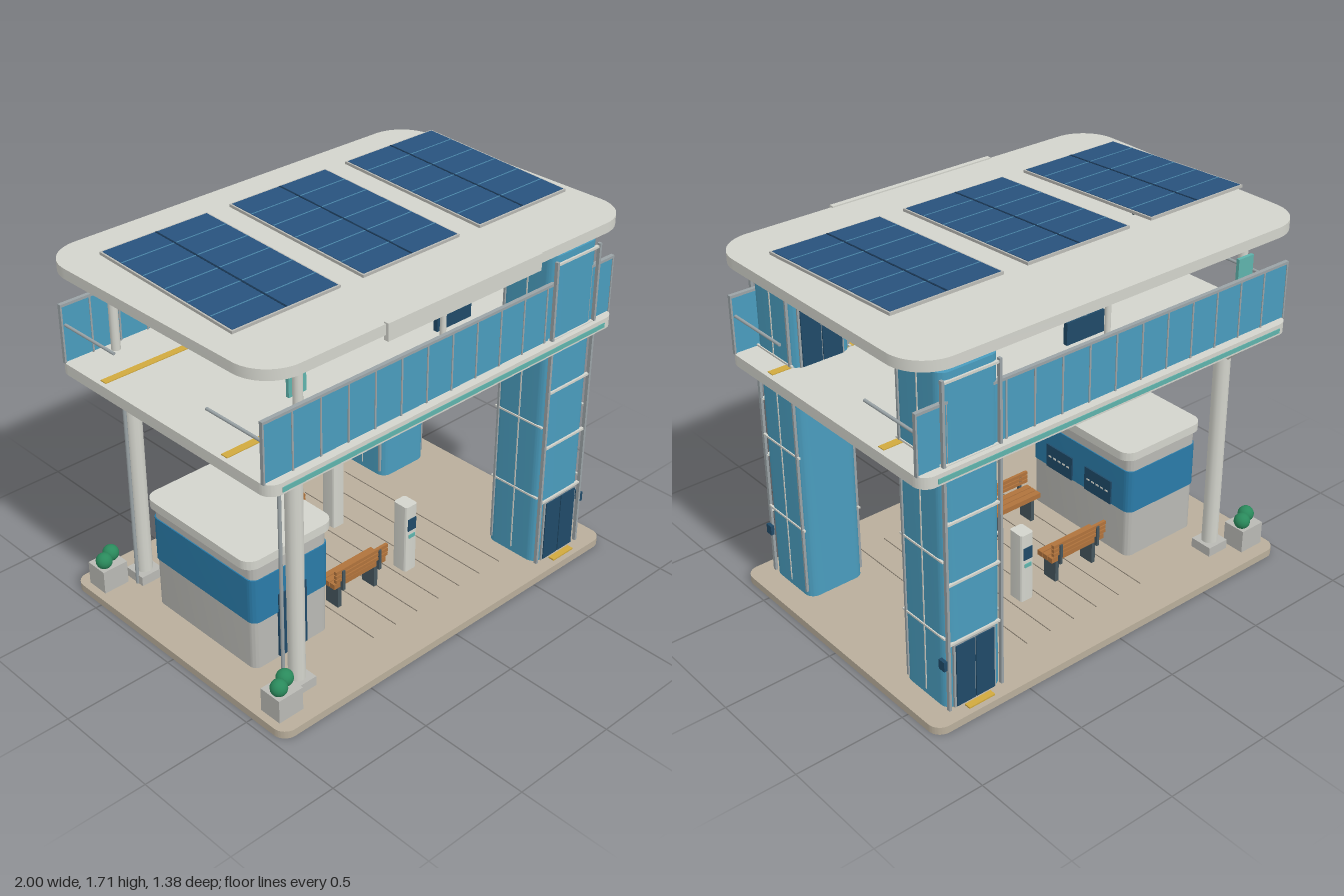
import * as THREE from 'three';
import { toCreasedNormals } from 'three/addons/utils/BufferGeometryUtils.js';

const mat = (color) => new THREE.MeshStandardMaterial({ color });
const M = {
  floor: mat(0xb9ae9b), white: mat(0xd3d4cc), grey: mat(0xb9b9b4), steel: mat(0x9aa3a6),
  glass: mat(0x4a9cbd), dark: mat(0x1f4a68), blue: mat(0x2a7ba8), cell: mat(0x28527d),
  line: mat(0x17334f), teal: mat(0x5fb3ac), wood: mat(0xb0733c), leg: mat(0x46565e),
  green: mat(0x2a8a5c), yellow: mat(0xd0a93e), joint: mat(0x7d7468), trim: mat(0x4a86a8),
};

function add(parent, name, geo, material, x = 0, y = 0, z = 0) {
  const mesh = new THREE.Mesh(geo, material);
  mesh.name = name;
  mesh.position.set(x, y, z);
  parent.add(mesh);
  return mesh;
}

// Box given by its limits on each axis
function box(parent, name, material, [x0, x1], [y0, y1], [z0, z1]) {
  return add(parent, name, new THREE.BoxGeometry(x1 - x0, y1 - y0, z1 - z0), material,
    (x0 + x1) / 2, (y0 + y1) / 2, (z0 + z1) / 2);
}

// Horizontal slab with rounded vertical corners, standing on y = 0
function slab(w, d, h, r) {
  const s = new THREE.Shape(), a = w / 2, b = d / 2;
  s.absarc(a - r, b - r, r, 0, Math.PI / 2);
  s.absarc(-a + r, b - r, r, Math.PI / 2, Math.PI);
  s.absarc(-a + r, -b + r, r, Math.PI, Math.PI * 1.5);
  s.absarc(a - r, -b + r, r, Math.PI * 1.5, Math.PI * 2);
  const g = new THREE.ExtrudeGeometry(s, { depth: h, bevelEnabled: false, curveSegments: 8 });
  return toCreasedNormals(g.rotateX(-Math.PI / 2), 0.6);
}

// Round bar between two points
function rod(parent, name, material, from, to, r) {
  const a = new THREE.Vector3(...from), b = new THREE.Vector3(...to);
  const mesh = add(parent, name, new THREE.CylinderGeometry(r, r, a.distanceTo(b), 12), material);
  mesh.position.copy(a).lerp(b, 0.5);
  mesh.quaternion.setFromUnitVectors(new THREE.Vector3(0, 1, 0), b.sub(a).normalize());
  return mesh;
}

function group(parent, name) {
  const g = new THREE.Group();
  g.name = name;
  parent.add(g);
  return g;
}

function liftTower(parent, s) {
  const g = group(parent, 'liftTower');
  const zs = (a, b) => [Math.min(s * a, s * b), Math.max(s * a, s * b)];
  add(g, 'liftShaft', slab(0.28, 0.28, 1.505, 0.045), M.glass, 0.72, 0.035, s * 0.475);
  // outer face: corner poles, cross bars and ground door
  for (const x of [0.59, 0.855]) box(g, 'shaftPole', M.steel, [x - 0.006, x + 0.006], [0.035, 1.52], zs(0.612, 0.628));
  for (const y of [0.35, 0.63, 0.905, 1.16, 1.505])
    box(g, 'shaftBar', M.white, [0.59, 0.855], [y - 0.005, y + 0.005], zs(0.61, 0.624));
  box(g, 'doorFrame', M.steel, [0.62, 0.83], [0.035, 0.345], zs(0.61, 0.622));
  for (const x of [0.63, 0.728]) box(g, 'liftDoor', M.dark, [x, x + 0.092], [0.04, 0.335], zs(0.615, 0.627));
  box(g, 'doorMat', M.yellow, [0.66, 0.79], [0.035, 0.042], zs(0.635, 0.665));
  box(g, 'callPanel', M.dark, [0.864, 0.88], [0.24, 0.285], zs(0.59, 0.625));
  // side faces
  for (const x of [0.58, 0.86]) {
    for (const y of [0.38, 0.74, 1.17])
      box(g, 'sideBar', M.white, [x - 0.005, x + 0.005], [y - 0.004, y + 0.004], zs(0.345, 0.61));
    box(g, 'sideMullion', M.white, [x - 0.003, x + 0.003], [0.06, 1.52], zs(0.477, 0.483));
    box(g, 'sidePole', M.steel, [x - 0.006, x + 0.006], [0.06, 1.52], zs(0.358, 0.368));
  }
  // deck-level door on the inner face
  box(g, 'upperDoorFrame', M.steel, [0.62, 0.83], [1.16, 1.475], zs(0.33, 0.34));
  for (const x of [0.63, 0.728]) box(g, 'upperDoor', M.dark, [x, x + 0.092], [1.165, 1.465], zs(0.325, 0.34));
}

function railing(parent, s) {
  const g = group(parent, 'railing'), z = s * 0.605;
  box(g, 'railGlass', M.glass, [-0.965, 0.965], [1.165, 1.415], [z - 0.005, z + 0.005]);
  box(g, 'handrail', M.steel, [-0.97, 0.97], [1.412, 1.424], [z - 0.009, z + 0.009]);
  for (let i = 0; i <= 14; i++) {
    const x = -0.966 + i * 0.138;
    box(g, 'railPost', M.steel, [x - 0.004, x + 0.004], [1.16, 1.415], [z - 0.008, z + 0.008]);
  }
  for (const x of [-0.95, 0.95]) rod(g, 'endBar', M.steel, [x, 1.328, z], [x, 1.328, s * 0.28], 0.007);
}

function column(parent, s) {
  const g = group(parent, 'column'), x = -0.73, z = s * 0.5;
  box(g, 'columnFoot', M.grey, [x - 0.055, x + 0.055], [0.035, 0.08], [z - 0.055, z + 0.055]);
  rod(g, 'columnShaft', M.white, [x, 0.05, z], [x, 1.12, z], 0.037);
  for (let i = 0; i < 4; i++) {
    const dx = Math.cos(i * Math.PI / 2), dz = Math.sin(i * Math.PI / 2);
    rod(g, 'columnArm', M.white, [x, 1.0, z], [x + dx * 0.115, 1.11, z + dz * 0.115], 0.015);
  }
  rod(g, 'downpipe', M.steel, [x - 0.055, 0.035, z - s * 0.02], [x - 0.055, 1.12, z - s * 0.02], 0.008);
}

function roofSupports(parent, s) {
  const g = group(parent, 'roofSupports'), z = s * 0.555;
  for (const [x, y, r] of [[-0.75, 1.16, 0.02], [0, 1.16, 0.013], [0.75, 1.5, 0.02]]) {
    rod(g, 'roofPost', M.white, [x, y, z], [x, 1.585, z], r);
    box(g, 'postCap', M.white, [x - r * 4, x + r * 4], [1.572, 1.586], [z - 0.04, z + 0.04]);
  }
  box(g, 'exitSign', M.teal, [-0.775, -0.69], [1.41, 1.505], [z - 0.035, z - 0.02]);
  rod(g, 'signRod', M.steel, [0.085, 1.48, s * 0.52], [0.085, 1.59, s * 0.52], 0.005);
  box(g, 'hangingSign', M.dark, [-0.005, 0.185], [1.39, 1.485], [s * 0.52 - 0.01, s * 0.52 + 0.01]);
}

function bench(parent, s) {
  const g = group(parent, 'bench');
  for (const z of [0.18, 0.213, 0.246]) box(g, 'seatSlat', M.wood, [-0.3, 0.005], [0.15, 0.175], [z - 0.014, z + 0.014]);
  for (const y of [0.197, 0.218, 0.239]) box(g, 'backSlat', M.wood, [-0.3, 0.005], [y - 0.008, y + 0.008], [0.258, 0.272]);
  for (const x of [-0.26, -0.045]) {
    box(g, 'benchLeg', M.leg, [x - 0.01, x + 0.01], [0.035, 0.15], [0.175, 0.25]);
    box(g, 'backBracket', M.leg, [x - 0.007, x + 0.007], [0.14, 0.24], [0.262, 0.278]);
  }
  if (s < 0) g.rotation.y = Math.PI, g.position.x = -0.295;
}

function ticketMachine(parent, s) {
  const g = group(parent, 'ticketMachine'), z = s * 0.23, f = z + s * 0.04;
  add(g, 'machineBody', slab(0.068, 0.08, 0.34, 0.012), M.white, 0.152, 0.035, z);
  box(g, 'screen', M.dark, [0.128, 0.176], [0.25, 0.31], [f - 0.004, f + 0.004]);
  box(g, 'cardReader', M.teal, [0.134, 0.17], [0.21, 0.228], [f - 0.004, f + 0.004]);
}

function planter(parent, s) {
  const g = group(parent, 'planter'), z = s * 0.57;
  box(g, 'pot', M.grey, [-0.935, -0.81], [0.035, 0.145], [z - 0.055, z + 0.055]);
  for (const [x, dz] of [[-0.9, 0.015], [-0.843, -0.015]])
    add(g, 'bush', new THREE.SphereGeometry(0.037, 16, 12), M.green, x, 0.172, z + dz);
}

function solarPanel(parent, x) {
  const g = group(parent, 'solarPanel');
  const tilt = group(g, 'panelTilt');
  tilt.position.set(x, 1.686, 0);
  tilt.rotation.x = 0.048;
  box(tilt, 'panelFrame', M.grey, [-0.262, 0.262], [-0.008, 0.004], [-0.388, 0.388]);
  box(tilt, 'cells', M.cell, [-0.254, 0.254], [-0.004, 0.006], [-0.38, 0.38]);
  box(tilt, 'centreSeam', M.line, [-0.004, 0.004], [0, 0.0075], [-0.38, 0.38]);
  for (const z of [-0.26, -0.13, 0, 0.13, 0.26]) box(tilt, 'cellSeam', M.trim, [-0.254, 0.254], [0, 0.007], [z - 0.0025, z + 0.0025]);
  for (const dx of [-0.165, 0.165]) for (const [z, y] of [[-0.19, 1.692], [0.22, 1.674]])
    rod(g, 'panelLeg', M.leg, [x + dx, 1.625, z], [x + dx, y, z], 0.006);
}

function kiosk(parent) {
  const g = group(parent, 'kiosk'), x = -0.593;
  add(g, 'kioskWalls', slab(0.405, 0.64, 0.515, 0.035), M.grey, x, 0.035, 0);
  add(g, 'kioskBand', slab(0.415, 0.65, 0.21, 0.038), M.blue, x, 0.27, 0);
  add(g, 'kioskRoof', slab(0.465, 0.665, 0.04, 0.06), M.white, x, 0.545, 0);
  box(g, 'kioskDoor', M.dark, [-0.67, -0.52], [0.045, 0.36], [0.31, 0.331]);
  for (const s of [-1, 1]) {
    const z = s * 0.128;
    box(g, 'ticketWindow', M.dark, [-0.4, -0.378], [0.27, 0.387], [z - 0.086, z + 0.086]);
    for (let i = -2; i <= 2; i++)
      box(g, 'windowSlot', M.white, [-0.38, -0.376], [0.326, 0.334], [z + i * 0.03 - 0.009, z + i * 0.03 + 0.009]);
  }
}

export function createModel() {
  const root = new THREE.Group();
  root.name = 'solarStation';
  // ground, deck and roof
  add(root, 'groundSlab', slab(1.94, 1.38, 0.035, 0.06), M.floor);
  for (let i = 0; i < 7; i++) {
    const x = -0.3 + i * 0.13;
    box(root, 'floorJoint', M.joint, [x - 0.002, x + 0.002], [0.03, 0.0365], [-0.5, 0.5]);
  }
  add(root, 'deck', slab(1.94, 1.29, 0.05, 0.06), M.white, 0, 1.112, 0);
  add(root, 'roof', slab(2, 1.33, 0.046, 0.17), M.white, 0, 1.585, 0);
  box(root, 'signBoard', M.white, [-0.42, 0.42], [1.563, 1.637], [0.655, 0.678]);
  for (const x of [-0.64, 0.64]) box(root, 'roofLight', M.grey, [x - 0.011, x + 0.011], [1.538, 1.585], [-0.55, 0.55]);
  // pieces repeated at the front and the back
  for (const s of [1, -1]) {
    box(root, 'deckStripe', M.teal, [-0.91, 0.9], [1.122, 1.143], [s * 0.643 - 0.005, s * 0.643 + 0.005]);
    box(root, 'safetyStrip', M.yellow, [-0.95, 0.95], [1.16, 1.166], [s * 0.37 - 0.017, s * 0.37 + 0.017]);
    liftTower(root, s);
    railing(root, s);
    column(root, s);
    roofSupports(root, s);
    bench(root, s);
    ticketMachine(root, s);
    planter(root, s);
  }
  for (const x of [-0.643, -0.003, 0.637]) solarPanel(root, x);
  kiosk(root);
  return root;
}
